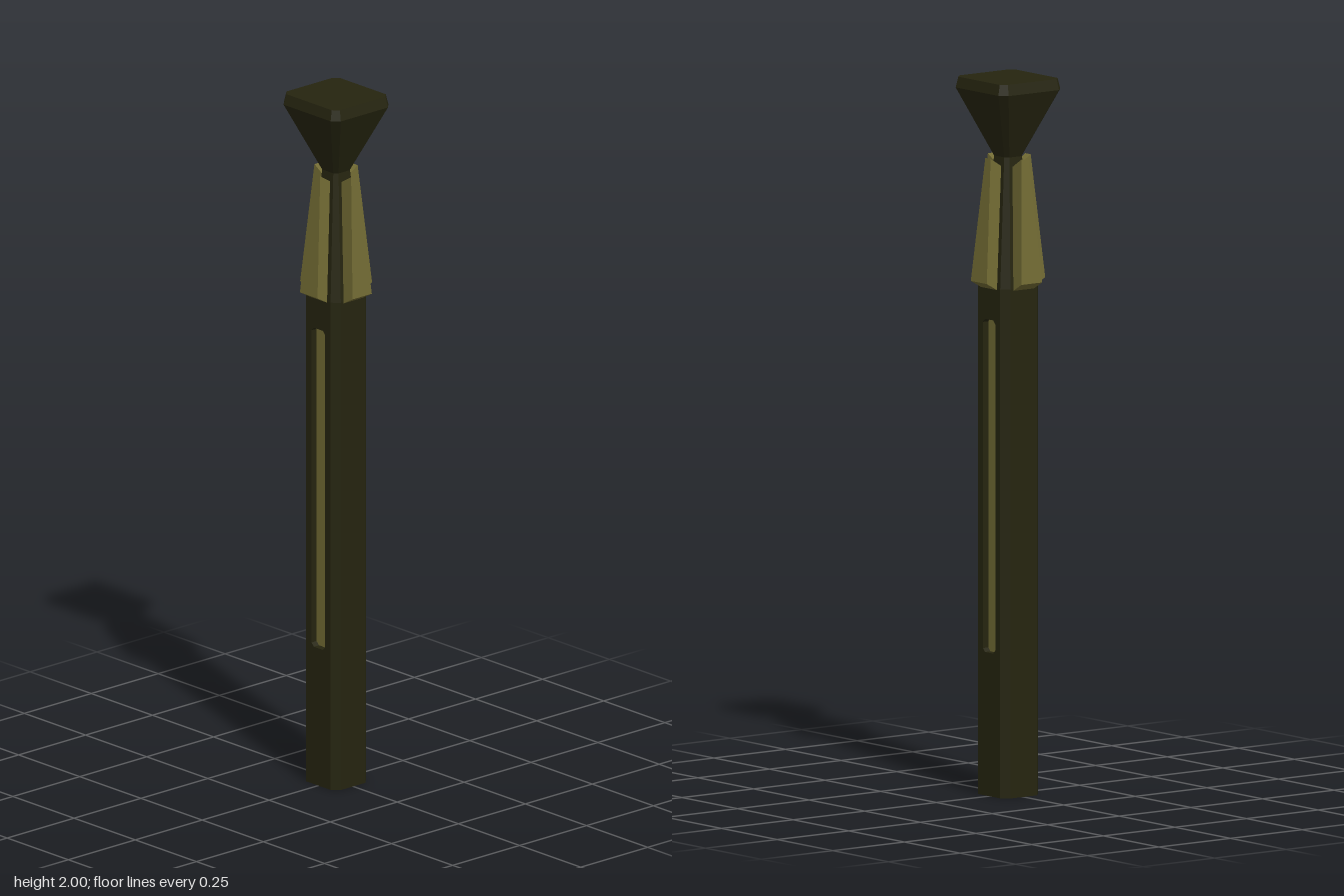
import * as THREE from 'three';

const dark = new THREE.MeshStandardMaterial({ color: 0x25240f });
dark.name = 'dark olive metal';
const pale = new THREE.MeshStandardMaterial({ color: 0x716a33 });
pale.name = 'pale olive panel';

// Chamfered rectangle, counter-clockwise from above; side 0 faces +x, side 4 faces -x
function ring([hx, hz, c, y]) {
  const x = hx - c, z = hz - c;
  return [[hx, z], [hx, -z], [x, -hz], [-x, -hz], [-hx, -z], [-hx, z], [-x, hz], [x, hz]]
    .map(([px, pz]) => new THREE.Vector3(px, y, pz));
}

// Faceted loft through chamfered rectangles, with closed ends
function loft(sections, skip = []) {
  const rings = sections.map(ring), pts = [];
  for (let i = 0; i + 1 < rings.length; i++) {
    for (let j = 0; j < 8; j++) {
      if (skip.includes(j)) continue;
      const k = (j + 1) % 8, lo = rings[i], hi = rings[i + 1];
      pts.push(lo[j], lo[k], hi[k], lo[j], hi[k], hi[j]);
    }
  }
  const bottom = rings[0], top = rings[rings.length - 1];
  for (let k = 1; k < 7; k++) {
    pts.push(top[0], top[k], top[k + 1], bottom[0], bottom[k + 1], bottom[k]);
  }
  const g = new THREE.BufferGeometry().setFromPoints(pts);
  g.computeVertexNormals();
  return g;
}

// Upright slot outline with clipped corners
function slotPoints(w, y0, y1, c) {
  return [[-w + c, y0], [w - c, y0], [w, y0 + c], [w, y1 - c],
    [w - c, y1], [-w + c, y1], [-w, y1 - c], [-w, y0 + c]].map(p => new THREE.Vector2(...p));
}

// Tilted fin: a box narrowed towards the top and leaning inwards
function finGeometry() {
  const g = new THREE.BoxGeometry(1, 1, 1).toNonIndexed();
  const p = g.attributes.position;
  for (let i = 0; i < p.count; i++) {
    const up = p.getY(i) > 0, out = p.getZ(i) > 0;
    const half = up ? 0.012 : 0.036;
    const y = up ? (out ? 1.78 : 1.755) : (out ? 1.437 : 1.413);
    const z = up ? (out ? 0.07 : 0.03) : (out ? 0.102 : 0.06);
    p.setXYZ(i, Math.sign(p.getX(i)) * half, y, z);
  }
  g.computeVertexNormals();
  return g;
}

export function createModel() {
  const model = new THREE.Group();
  model.name = 'post';
  const add = (parent, name, geometry, material) => {
    const mesh = new THREE.Mesh(geometry, material);
    mesh.name = name;
    parent.add(mesh);
    return mesh;
  };
  const HX = 0.066, HZ = 0.07, C = 0.02, SHAFT = 1.42, DEPTH = 0.02;

  // Shaft, left open on both x sides for the slotted walls
  add(model, 'shaft', loft([[HX, HZ, C, 0], [HX, HZ, C, SHAFT]], [0, 4]), dark);

  // Slotted side walls with a recessed pale strip
  const wall = new THREE.Shape([[-HZ + C, 0], [HZ - C, 0], [HZ - C, SHAFT], [-HZ + C, SHAFT]]
    .map(p => new THREE.Vector2(...p)));
  const slot = slotPoints(0.028, 0.4, 1.33, 0.01);
  wall.holes.push(new THREE.Path(slot));
  const wallGeometry = new THREE.ExtrudeGeometry(wall, { depth: DEPTH, bevelEnabled: false });
  const stripGeometry = new THREE.ShapeGeometry(new THREE.Shape(slot));
  for (const s of [1, -1]) {
    const side = new THREE.Group();
    side.name = s > 0 ? 'leftSide' : 'rightSide';
    side.rotation.y = s * Math.PI / 2;
    add(side, 'slottedWall', wallGeometry, dark).position.z = HX - DEPTH;
    add(side, 'recessedStrip', stripGeometry, pale).position.z = HX - DEPTH + 0.001;
    model.add(side);
  }

  // Tapered neck and flared head
  add(model, 'neck', loft([[HX, HZ, C, SHAFT], [0.03, 0.032, 0.01, 1.79]]), dark);
  add(model, 'head', loft([
    [0.03, 0.032, 0.01, 1.78],
    [0.108, 0.116, 0.02, 1.97],
    [0.101, 0.109, 0.016, 2],
  ]), dark);

  // Four fins around the neck
  const fin = finGeometry();
  ['frontFin', 'leftFin', 'backFin', 'rightFin'].forEach((name, i) => {
    const mesh = add(model, name, fin, pale);
    mesh.rotation.y = i * Math.PI / 2;
    if (i % 2 === 0) mesh.position.z = i === 0 ? 0.005 : -0.005;
  });
  return model;
}
